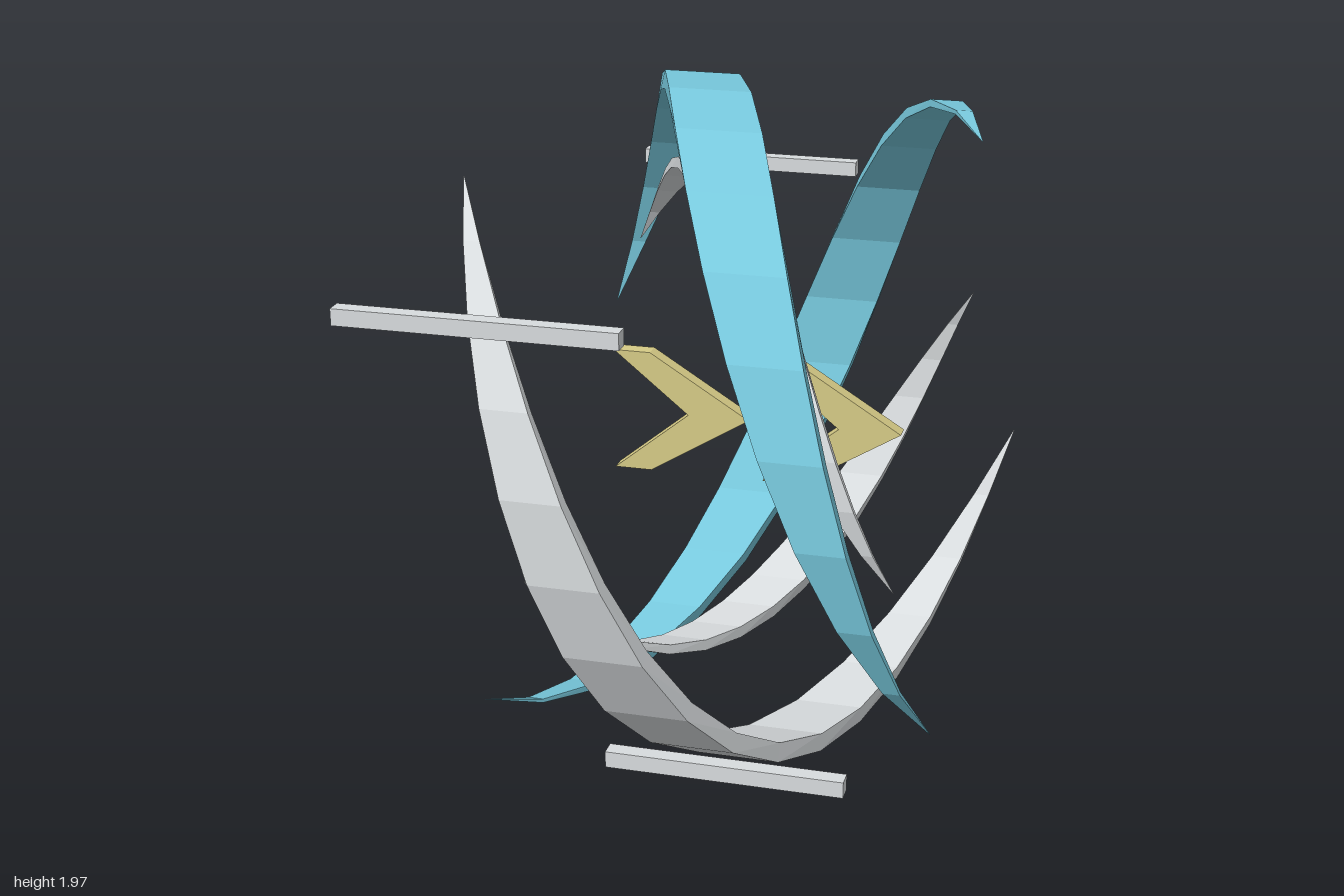
import * as THREE from 'three';

const paleGrey = new THREE.MeshStandardMaterial({ name: 'paleGrey', color: 0xd8dcde });
const skyTeal = new THREE.MeshStandardMaterial({ name: 'skyTeal', color: 0x77c8dc });
const softGold = new THREE.MeshStandardMaterial({ name: 'softGold', color: 0xd6cb86 });

const AXIS_Y = 1; // the ribbons coil around a horizontal axis at this height

// Faceted helical ribbon: a flat box section that swells mid-way and tapers to points.
function ribbonGeometry({ start, sweep, x0, x1, tipRadius, rise, thickness, width }, segments = 16) {
  const rings = [];
  for (let k = 0; k <= segments; k++) {
    const t = k / segments;
    const swell = Math.max(Math.sin(Math.PI * t), 0.01);
    const angle = THREE.MathUtils.degToRad(start + sweep * t);
    const x = x0 + (x1 - x0) * t;
    const outer = tipRadius + rise * swell;
    const inner = outer - thickness * swell;
    const half = (width / 2) * swell;
    const corner = (r, dx) => [x + dx, AXIS_Y + r * Math.sin(angle), r * Math.cos(angle)];
    rings.push([corner(outer, half), corner(outer, -half), corner(inner, -half), corner(inner, half)]);
  }
  const pos = [];
  const quad = (a, b, c, d) => pos.push(...a, ...b, ...c, ...a, ...c, ...d);
  for (let k = 0; k < segments; k++) {
    for (let i = 0; i < 4; i++) {
      const j = (i + 1) % 4;
      quad(rings[k][i], rings[k + 1][i], rings[k + 1][j], rings[k][j]);
    }
  }
  quad(...rings[0]);
  quad(...[...rings[segments]].reverse());
  const geometry = new THREE.BufferGeometry();
  geometry.setAttribute('position', new THREE.Float32BufferAttribute(pos, 3));
  geometry.computeVertexNormals();
  return geometry;
}

export function createModel() {
  const model = new THREE.Group();
  model.name = 'spiralEmblem';
  const add = (name, geometry, material, x = 0, y = 0, z = 0) => {
    const mesh = new THREE.Mesh(geometry, material);
    mesh.name = name;
    mesh.position.set(x, y, z);
    model.add(mesh);
  };

  // Three wide outer ribbons, a third of a turn apart
  [skyTeal, skyTeal, paleGrey].forEach((material, i) => {
    add(`outerRibbon${i + 1}`, ribbonGeometry({
      start: -40 + 120 * i, sweep: 220, x0: 0.76, x1: -0.6,
      tipRadius: 0.919, rise: 0.078, thickness: 0.058, width: 0.24,
    }), material);
  });

  // Two narrow inner ribbons, half a turn apart
  for (let i = 0; i < 2; i++) {
    add(`innerRibbon${i + 1}`, ribbonGeometry({
      start: -18.5 + 180 * i, sweep: 170, x0: 0.64, x1: -0.42,
      tipRadius: 0.68, rise: 0.075, thickness: 0.04, width: 0.165,
    }), paleGrey);
  }

  // Two chevrons in the middle, pointing sideways
  const chevron = new THREE.Shape([
    [0, 0.185], [0.11, 0.185], [0.408, 0], [0.11, -0.185], [0, -0.185], [0.225, 0],
  ].map(([x, y]) => new THREE.Vector2(x, y)).reverse());
  const chevronGeometry = new THREE.ExtrudeGeometry(chevron, { depth: 0.048, bevelEnabled: false });
  [-0.312, 0.138].forEach((x, i) => add(`chevron${i + 1}`, chevronGeometry, softGold, x, 1, 0.006));

  // Floating straight bars: left end, right end, height, depth
  [
    [-0.77, -0.003, 1.558, 0.977],
    [-0.06, 0.585, 0.378, 0.977],
    [-0.505, 0.2, 1.498, -0.972],
  ].forEach(([a, b, y, z], i) => {
    add(`floatingBar${i + 1}`, new THREE.BoxGeometry(b - a, 0.046, 0.046), paleGrey, (a + b) / 2, y, z);
  });

  return model;
}
